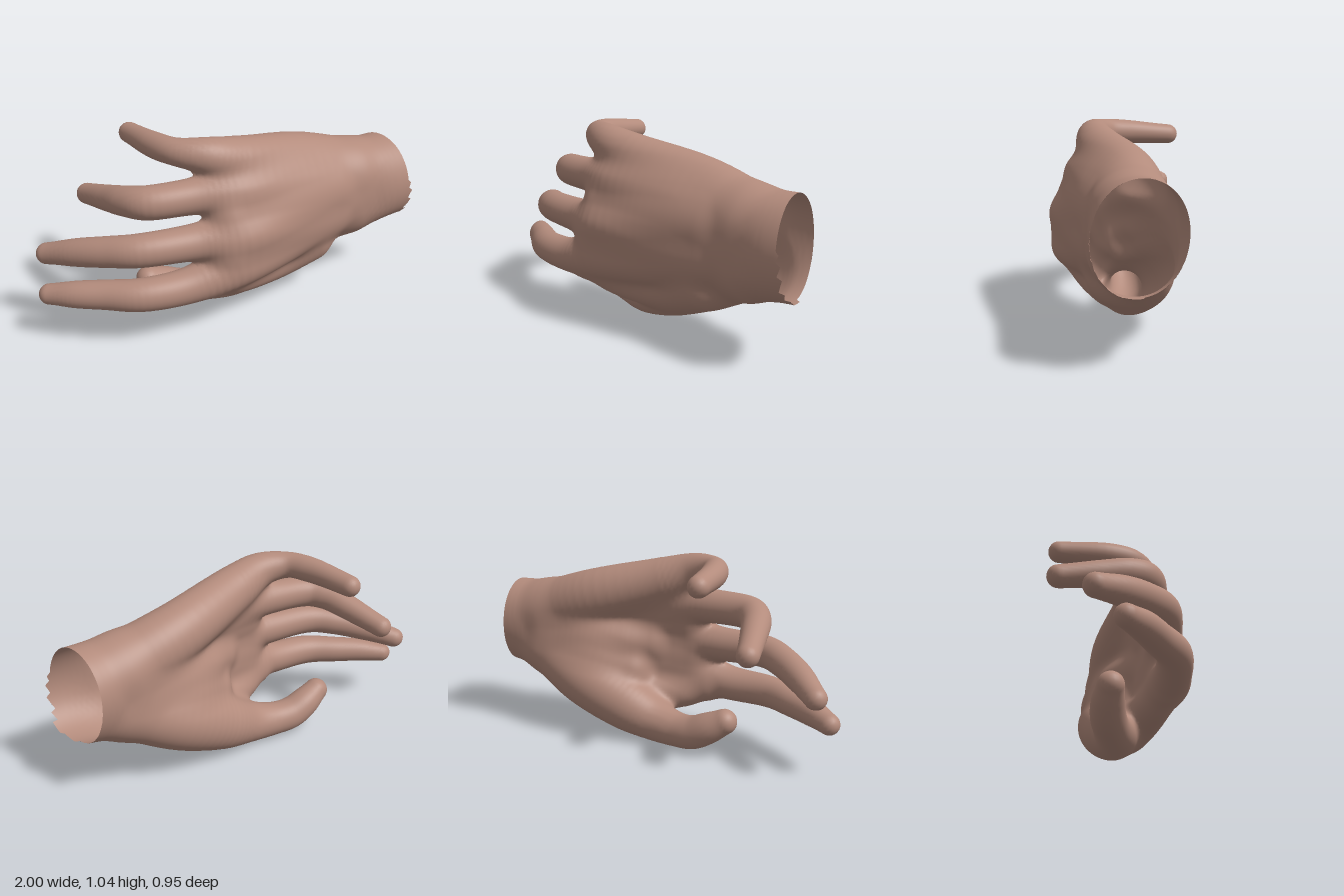
import * as THREE from 'three';

const STEP = 0.016;
const LOW = [-1.04, -0.04, -0.54];
const SIZE = [132, 70, 67];
const BLEND = 0.06;

// Limbs as chains of [x, y, z, radius], from the wrist outwards
const limbs = {
  forearmUpper: [[1.3, 0.63, 0.28, 0.207], [0.93, 0.622, 0.24, 0.205], [0.72, 0.642, 0.215, 0.19]],
  forearmLower: [[1.3, 0.54, 0.3, 0.207], [0.93, 0.537, 0.257, 0.205], [0.72, 0.472, 0.215, 0.19]],
  littleFinger: [[0.7, 0.67, 0.19, 0.165], [0.4, 0.775, 0.13, 0.15], [0, 0.883, 0.137, 0.122], [-0.18, 0.945, 0.115, 0.092],
    [-0.3, 0.965, 0.025, 0.07], [-0.335, 0.962, -0.11, 0.067], [-0.33, 0.945, -0.375, 0.055]],
  ringFinger: [[0.7, 0.62, 0.22, 0.16], [0.3, 0.72, 0.21, 0.14], [-0.05, 0.75, 0.2, 0.12], [-0.26, 0.755, 0.13, 0.093],
    [-0.49, 0.75, 0.04, 0.086], [-0.545, 0.735, -0.06, 0.078], [-0.565, 0.7, -0.2, 0.069], [-0.581, 0.645, -0.418, 0.056]],
  middleFinger: [[0.7, 0.56, 0.22, 0.16], [0.3, 0.57, 0.25, 0.145], [-0.08, 0.54, 0.265, 0.13], [-0.3, 0.535, 0.19, 0.095],
    [-0.58, 0.535, 0.09, 0.085], [-0.69, 0.515, -0.02, 0.079], [-0.79, 0.483, -0.155, 0.072], [-0.887, 0.437, -0.312, 0.056]],
  indexFinger: [[0.7, 0.52, 0.22, 0.16], [0.3, 0.42, 0.24, 0.14], [-0.08, 0.37, 0.255, 0.128], [-0.35, 0.312, 0.21, 0.096],
    [-0.6, 0.305, 0.13, 0.085], [-0.74, 0.298, 0.01, 0.076], [-0.85, 0.29, -0.09, 0.069], [-0.946, 0.275, -0.195, 0.054]],
  thumb: [[0.7, 0.44, 0.18, 0.165], [0.45, 0.31, 0.085, 0.172], [0.2, 0.187, 0.045, 0.152], [0.02, 0.117, 0.015, 0.117],
    [-0.12, 0.097, -0.04, 0.095], [-0.23, 0.107, -0.085, 0.09], [-0.32, 0.15, -0.11, 0.083], [-0.41, 0.2, -0.12, 0.067]],
  thumbWeb: [[0.45, 0.31, 0.2, 0.14], [0.25, 0.24, 0.165, 0.125], [0.07, 0.233, 0.175, 0.112],
    [-0.09, 0.245, 0.19, 0.096], [-0.22, 0.272, 0.2, 0.075]],
  upperBack: [[0.5, 0.63, 0.25, 0.13], [0.2, 0.645, 0.245, 0.125], [-0.12, 0.645, 0.22, 0.105]],
  lowerBack: [[0.5, 0.47, 0.245, 0.13], [0.2, 0.49, 0.255, 0.125], [-0.14, 0.45, 0.245, 0.11]],
  palmHeel: [[0.68, 0.56, 0.18, 0.15], [0.45, 0.55, 0.13, 0.135], [0.25, 0.53, 0.145, 0.12], [0.1, 0.52, 0.18, 0.1]],
  palmFill: [[0.6, 0.47, 0.16, 0.14], [0.4, 0.43, 0.11, 0.14], [0.2, 0.37, 0.13, 0.12]],
};

// Smooth each chain into short tapered segments
function toSegments(points) {
  const path = new THREE.CatmullRomCurve3(points.map(([x, y, z]) => new THREE.Vector3(x, y, z)));
  const radius = new THREE.SplineCurve(points.map((p, i) => new THREE.Vector2(i, p[3])));
  const n = (points.length - 1) * 7;
  const samples = [];
  for (let i = 0; i <= n; i++) samples.push({ p: path.getPoint(i / n), r: radius.getPoint(i / n).y });
  return samples.slice(1).map((b, i) => {
    const a = samples[i], d = b.p.clone().sub(a.p);
    return { a: a.p, d, inv: 1 / d.lengthSq(), r: a.r, dr: b.r - a.r };
  });
}

const chains = Object.values(limbs).map(toSegments);

// Distance to the hand: limbs melt together where they meet
function field(x, y, z) {
  let total = 10;
  for (const chain of chains) {
    let near = 10;
    for (const { a, d, inv, r, dr } of chain) {
      const px = x - a.x, py = y - a.y, pz = z - a.z;
      const t = Math.min(1, Math.max(0, (px * d.x + py * d.y + pz * d.z) * inv));
      const qx = px - d.x * t, qy = py - d.y * t, qz = pz - d.z * t;
      near = Math.min(near, Math.sqrt(qx * qx + qy * qy + qz * qz) - r - dr * t);
    }
    const h = Math.max(BLEND - Math.abs(total - near), 0);
    total = Math.min(total, near) - h * h / (4 * BLEND);
  }
  return total;
}

function gradient(p) {
  const e = 0.012;
  return new THREE.Vector3(
    field(p.x + e, p.y, p.z) - field(p.x - e, p.y, p.z),
    field(p.x, p.y + e, p.z) - field(p.x, p.y - e, p.z),
    field(p.x, p.y, p.z + e) - field(p.x, p.y, p.z - e),
  ).divideScalar(2 * e);
}

// Ragged open edge of the wrist
function wristEdge(y, z) {
  if (y < 0.39 && z > 0.34) return 1;
  const edge = 0.935 + 0.05 * (0.83 - y);
  return y < 0.62 && z > 0.25 ? edge + 0.03 * ((y * 14) % 1) : edge;
}

// Skin: one vertex per grid cell the surface crosses, one quad per crossed grid edge
function skinGeometry() {
  const [nx, ny, nz] = SIZE;
  const stride = [1, nx, nx * ny];
  const values = new Float32Array(nx * ny * nz);
  const at = (i, j, k) => i + j * nx + k * nx * ny;
  for (let k = 0; k < nz; k++) for (let j = 0; j < ny; j++) for (let i = 0; i < nx; i++) {
    values[at(i, j, k)] = field(LOW[0] + i * STEP, LOW[1] + j * STEP, LOW[2] + k * STEP);
  }

  const vertexOf = new Int32Array(values.length).fill(-1);
  const positions = [], normals = [], beyond = [], indices = [];
  for (let k = 0; k < nz - 1; k++) for (let j = 0; j < ny - 1; j++) for (let i = 0; i < nx - 1; i++) {
    const c = at(i, j, k);
    let inside = 0;
    for (let m = 0; m < 8; m++) {
      if (values[c + (m & 1) + ((m >> 1) & 1) * stride[1] + (m >> 2) * stride[2]] < 0) inside++;
    }
    if (inside === 0 || inside === 8) continue;
    // Pull the cell centre onto the surface
    const p = new THREE.Vector3(i + 0.5, j + 0.5, k + 0.5).multiplyScalar(STEP).add(new THREE.Vector3(...LOW));
    for (let pass = 0; pass < 3; pass++) {
      const g = gradient(p);
      p.addScaledVector(g, -field(p.x, p.y, p.z) / Math.max(g.lengthSq(), 0.3));
    }
    const n = gradient(p).normalize();
    const edge = wristEdge(p.y, p.z);
    vertexOf[c] = positions.length / 3;
    beyond.push(p.x > edge);
    positions.push(Math.min(p.x, edge), p.y, p.z);
    normals.push(n.x, n.y, n.z);
  }

  for (let k = 1; k < nz - 1; k++) for (let j = 1; j < ny - 1; j++) for (let i = 1; i < nx - 1; i++) {
    const c = at(i, j, k);
    for (let axis = 0; axis < 3; axis++) {
      const inside = values[c] < 0;
      if (inside === values[c + stride[axis]] < 0) continue;
      const u = stride[(axis + 1) % 3], v = stride[(axis + 2) % 3];
      const quad = [c, c - u, c - u - v, c - v].map((cell) => vertexOf[cell]);
      if (quad.some((q) => q < 0) || quad.every((q) => beyond[q])) continue;
      if (!inside) quad.reverse();
      const [a, b, d, e] = quad;
      indices.push(a, b, d, a, d, e);
    }
  }

  const geometry = new THREE.BufferGeometry();
  geometry.setAttribute('position', new THREE.Float32BufferAttribute(positions, 3));
  geometry.setAttribute('normal', new THREE.Float32BufferAttribute(normals, 3));
  geometry.setIndex(indices);
  return geometry;
}

export function createModel() {
  const group = new THREE.Group();
  group.name = 'hand';
  const material = new THREE.MeshStandardMaterial({ color: 0xb38b7c, side: THREE.DoubleSide });
  const skin = new THREE.Mesh(skinGeometry(), material);
  skin.name = 'handSkin';
  group.add(skin);
  return group;
}
